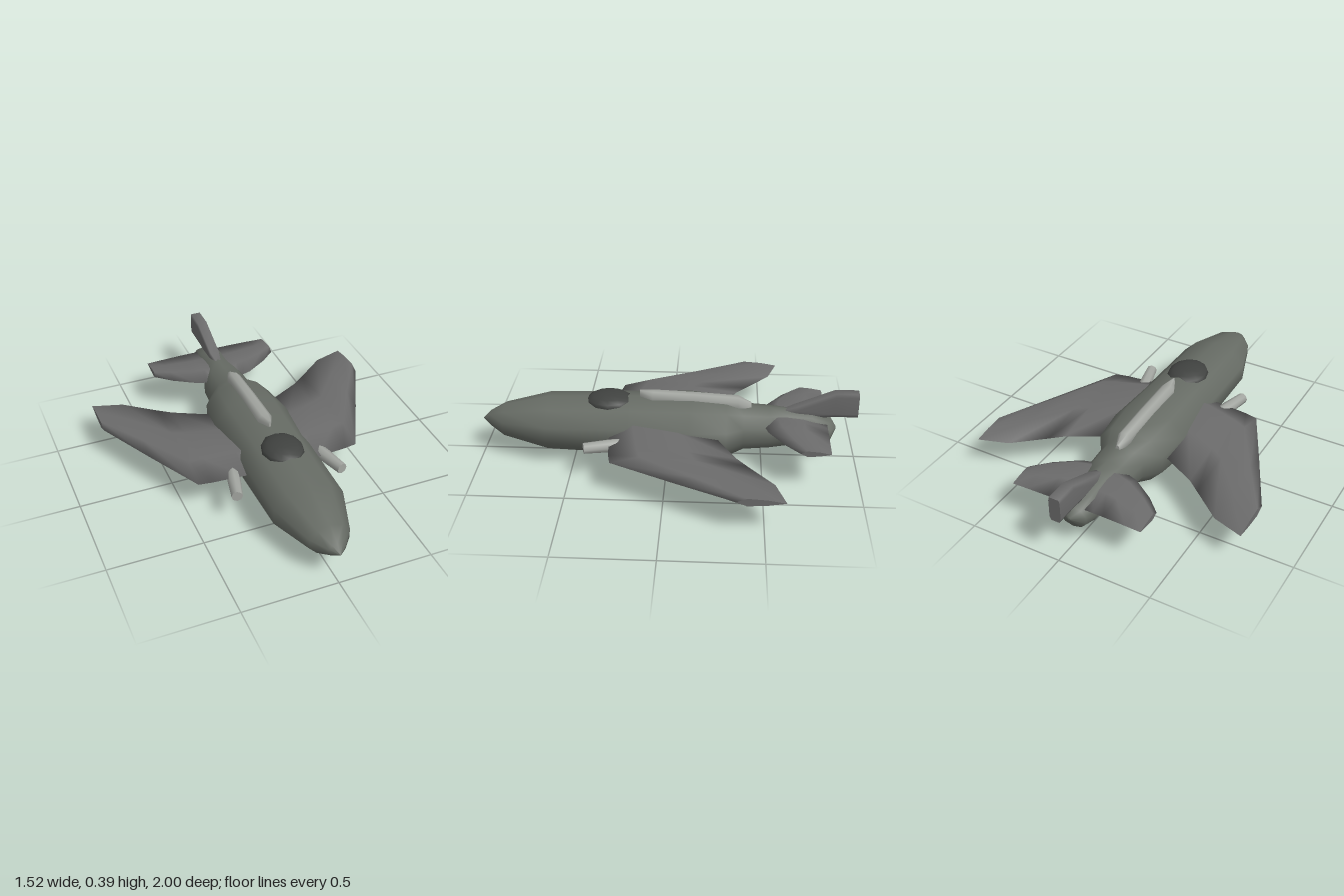
import * as THREE from 'three';
import { mergeVertices } from 'three/addons/utils/BufferGeometryUtils.js';

const paint = (color) => new THREE.MeshStandardMaterial({ color });
const hullPaint = paint(0x666b64);
const wingPaint = paint(0x6b6b6b);
const lightPaint = paint(0xa2a5a0);
const glassPaint = paint(0x404240);

// Skins a list of closed loops ([x, y, z] points); flat end caps keep sharp rims.
function loft(loops) {
  const pos = loops.flat(2);
  const n = loops[0].length;
  const tris = [];
  for (let i = 0; i < loops.length - 1; i++) {
    for (let j = 0; j < n; j++) {
      const a = i * n + j, b = i * n + (j + 1) % n;
      tris.push([a, b, b + n], [a, b + n, a + n]);
    }
  }
  [loops[0], loops[loops.length - 1]].forEach((loop, end) => {
    const start = pos.length / 3;
    pos.push(...loop.flat());
    for (let j = 1; j < n - 1; j++) {
      tris.push(end ? [start, start + j, start + j + 1] : [start, start + j + 1, start + j]);
    }
  });
  // Turn the faces outward whichever way the loops run.
  const v = (i) => new THREE.Vector3().fromArray(pos, i * 3);
  const volume = tris.reduce((s, [a, b, c]) => s + v(a).dot(v(b).cross(v(c))), 0);
  if (volume < 0) tris.forEach((t) => t.reverse());
  const g = new THREE.BufferGeometry();
  g.setAttribute('position', new THREE.Float32BufferAttribute(pos, 3));
  g.setIndex(tris.flat());
  g.computeVertexNormals();
  return g;
}

// Loop across z, with a corner at the top: [z, top, bottom, half width]
function ring([z, top, bottom, half], sides) {
  const widest = sides === 10 ? Math.cos(Math.PI / 10) : 1;
  return Array.from({ length: sides }, (_, i) => {
    const a = (i / sides) * Math.PI * 2;
    return [Math.sin(a) * half / widest, (top + bottom) / 2 + Math.cos(a) * (top - bottom) / 2, z];
  });
}

// Six-cornered lens section at a span position: [x, leading z, trailing z, mid y, half thickness]
function foil([x, lead, trail, y, t], side) {
  const at = (k) => lead + (trail - lead) * k;
  return [[0, 0], [0.22, 1], [0.62, 0.7], [1, 0], [0.62, -0.7], [0.22, -1]]
    .map(([k, h]) => [x * side, y + h * t, at(k)]);
}

function add(group, name, geometry, material) {
  const mesh = new THREE.Mesh(geometry, material);
  mesh.name = name;
  group.add(mesh);
  return mesh;
}

export function createModel() {
  const model = new THREE.Group();
  model.name = 'jetAircraft';

  // Ten-sided fuselage, from nose to tail
  const hull = [
    [1, 0.182, 0.178, 0.002], [0.96, 0.222, 0.145, 0.045], [0.88, 0.265, 0.095, 0.105],
    [0.64, 0.32, 0.04, 0.185], [0.2, 0.335, 0.02, 0.192], [-0.12, 0.342, 0, 0.207],
    [-0.31, 0.325, 0.015, 0.185], [-0.4, 0.295, 0.05, 0.125], [-0.54, 0.287, 0.062, 0.115],
    [-0.63, 0.283, 0.068, 0.085], [-0.76, 0.273, 0.075, 0.088], [-0.86, 0.235, 0.11, 0.075],
    [-0.892, 0.182, 0.17, 0.006],
  ];
  add(model, 'fuselage', mergeVertices(loft(hull.map((s) => ring(s, 10)))), hullPaint);

  // Dark canopy, barely rising from the hull
  const canopy = add(model, 'canopy', new THREE.SphereGeometry(1, 12, 8), glassPaint);
  canopy.scale.set(0.11, 0.05, 0.128);
  canopy.position.set(0, 0.304, 0.312);

  // Spine fairing
  const spine = [
    [0.15, 0.37, 0.31, 0.006], [0.08, 0.367, 0.29, 0.038], [-0.15, 0.358, 0.28, 0.038],
    [-0.37, 0.345, 0.26, 0.036], [-0.44, 0.312, 0.25, 0.012],
  ];
  add(model, 'spineFairing', loft(spine.map(([z, top, low, w]) => [
    [-w, low, z], [-w, top - 0.02, z], [-w * 0.45, top, z],
    [w * 0.45, top, z], [w, top - 0.02, z], [w, low, z],
  ])), lightPaint);

  // Swept tail fin
  const fin = [
    [-0.62, 0.28, 0.235, 0.018], [-0.68, 0.303, 0.235, 0.03],
    [-0.88, 0.386, 0.25, 0.031], [-1, 0.386, 0.25, 0.031],
  ];
  add(model, 'tailFin', loft(fin.map(([z, top, low, w]) => [
    [-w * 0.7, low, z], [-w, low + 0.02, z], [-w, top - 0.02, z], [-w * 0.85, top, z],
    [w * 0.85, top, z], [w, top - 0.02, z], [w, low + 0.02, z], [w * 0.7, low, z],
  ])), wingPaint);

  // Wings, tailplanes and gun pods, mirrored
  const wing = [
    [0.1, 0.3, -0.24, 0.184, 0.068], [0.2, 0.3, -0.275, 0.184, 0.064],
    [0.37, 0.285, -0.365, 0.182, 0.047], [0.44, 0.272, -0.42, 0.179, 0.04],
    [0.6, -0.04, -0.55, 0.176, 0.03], [0.76, -0.36, -0.6, 0.175, 0.021],
  ];
  const tailplane = [
    [0.03, -0.5, -0.84, 0.22, 0.042], [0.1, -0.512, -0.84, 0.22, 0.042],
    [0.16, -0.53, -0.84, 0.22, 0.038], [0.28, -0.61, -0.84, 0.217, 0.027],
    [0.36, -0.685, -0.84, 0.214, 0.016],
  ];
  const pod = [[-0.13, 0.012], [-0.08, 0.034], [0, 0.034], [0.13, 0.029]];
  for (const [side, label] of [[1, 'left'], [-1, 'right']]) {
    add(model, label + 'Wing', loft(wing.map((s) => foil(s, side))), wingPaint);
    add(model, label + 'Tailplane', loft(tailplane.map((s) => foil(s, side))), wingPaint);
    const gun = add(model, label + 'GunPod',
      loft(pod.map(([z, r]) => ring([z, r, -r, r], 8))), lightPaint);
    gun.position.set(0.258 * side, 0.172, 0.296);
    gun.rotation.y = 0.25 * side;
  }
  return model;
}
